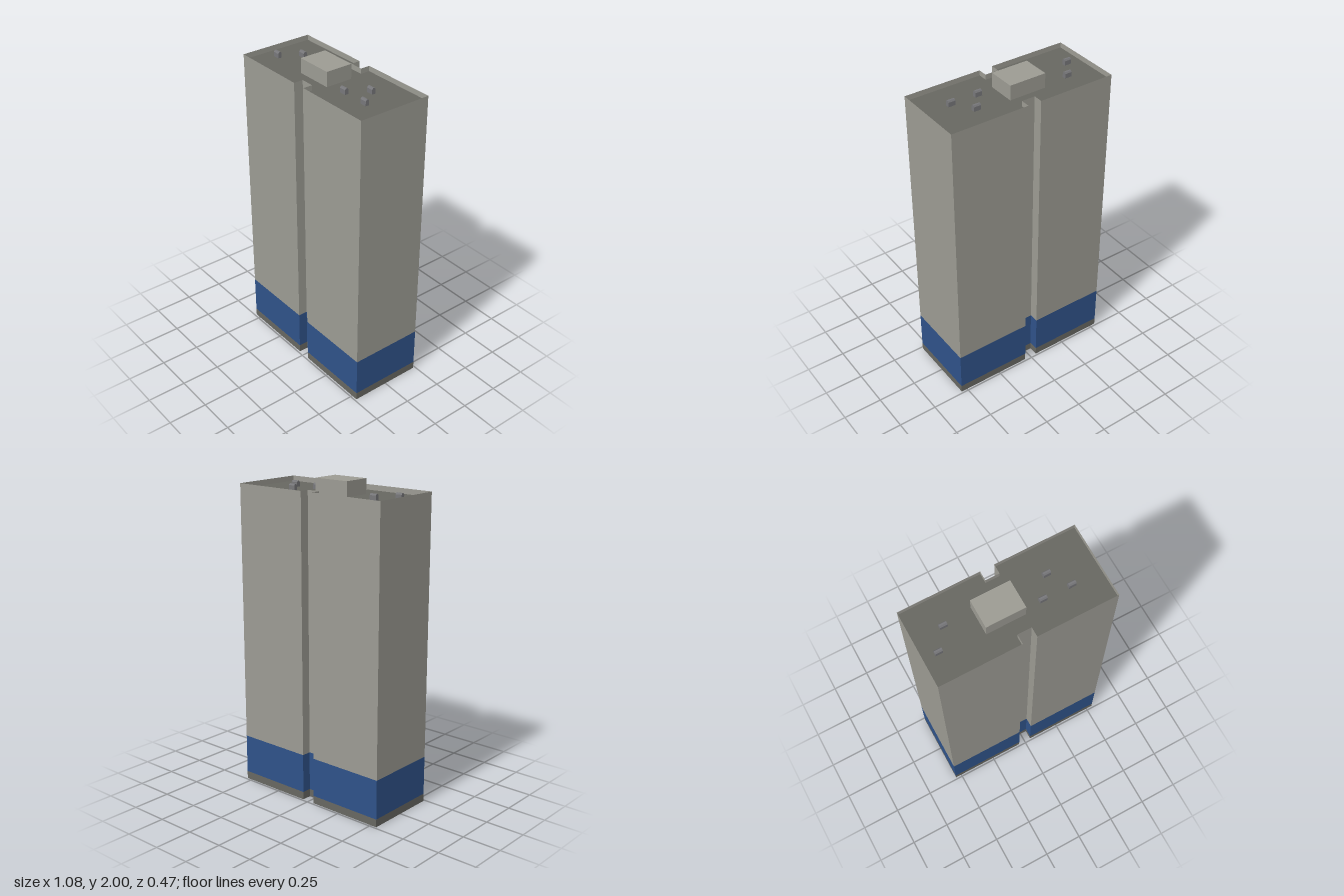
import * as THREE from 'three';

const W = 0.541, D = 0.237; // half width and half depth
const NW = 0.043, ND = 0.06; // notch half width and depth
const ROOF = 1.907;

// Plan outline with a vertical notch in the middle of each long side
const half = [[W, -D], [W, D], [NW, D], [NW, D - ND]];
const outline = [...half, ...half.map(([x, z]) => [-x, z]).reverse()];
outline.splice(0, outline.length,
  [W, -D], [W, D], [NW, D], [NW, D - ND], [-NW, D - ND], [-NW, D], [-W, D],
  [-W, -D], [-NW, -D], [-NW, -D + ND], [NW, -D + ND], [NW, -D]);

function material(color, open = false) {
  return new THREE.MeshStandardMaterial({ color, side: open ? THREE.DoubleSide : THREE.FrontSide });
}

// Thin open wall following the outline between two heights
function wallBand(y0, y1) {
  const pos = [];
  outline.forEach(([ax, az], i) => {
    const [bx, bz] = outline[(i + 1) % outline.length];
    pos.push(ax, y0, az, ax, y1, az, bx, y1, bz, ax, y0, az, bx, y1, bz, bx, y0, bz);
  });
  const g = new THREE.BufferGeometry();
  g.setAttribute('position', new THREE.Float32BufferAttribute(pos, 3));
  g.computeVertexNormals();
  return g;
}

export function createModel() {
  const group = new THREE.Group();
  const add = (name, geometry, mat, x = 0, y = 0, z = 0) => {
    const mesh = new THREE.Mesh(geometry, mat);
    mesh.name = name;
    mesh.position.set(x, y, z);
    group.add(mesh);
  };
  const light = 0x9c9b93, dark = 0x676761, blue = 0x2f5289;

  // Outer walls, open underneath and rising past the roof as a parapet
  add('plinth', wallBand(0, 0.05), material(dark, true));
  add('blueStorey', wallBand(0.05, 0.3), material(blue, true));
  add('towerWalls', wallBand(0.3, 1.94), material(light, true));

  // Sunken flat roof
  const roof = new THREE.ShapeGeometry(new THREE.Shape(outline.map(([x, z]) => new THREE.Vector2(x, -z))));
  roof.rotateX(-Math.PI / 2);
  add('roof', roof, material(dark, true), 0, ROOF, 0);

  // Lift housing
  add('liftHousing', new THREE.BoxGeometry(0.24, 2 - ROOF, 0.176), material(light), -0.06, (2 + ROOF) / 2, -0.002);

  // Small roof vents with bevelled tops, running along x
  const profile = new THREE.Shape([[-0.012, 0], [0.012, 0], [0.012, 0.028], [0.005, 0.037], [-0.005, 0.037], [-0.012, 0.028]]
    .map(([a, b]) => new THREE.Vector2(a, b)));
  const vent = new THREE.ExtrudeGeometry(profile, { depth: 0.045, bevelEnabled: false });
  vent.translate(0, 0, -0.0225).rotateY(Math.PI / 2);
  const ventMaterial = material(0x77777a);
  [[-0.448, 0.057], [-0.358, -0.063], [0.178, 0.057], [0.267, -0.063], [0.355, 0.057]]
    .forEach(([x, z]) => add('roofVent', vent, ventMaterial, x, ROOF, z));

  return group;
}
